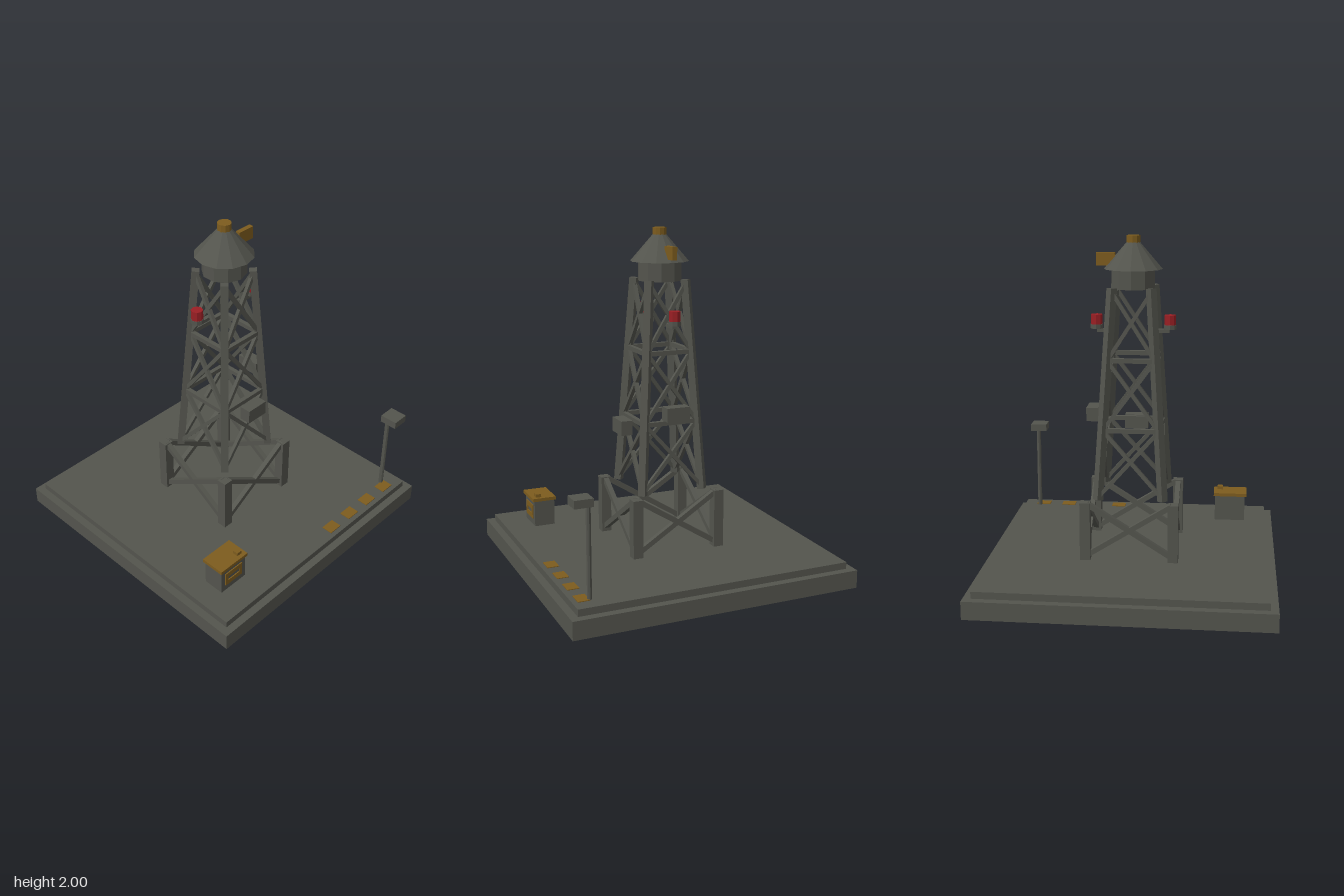
import * as THREE from 'three';

export function createModel() {
  const root = new THREE.Group();
  root.name = 'beaconTower';

  const mat = (name, color) => {
    const m = new THREE.MeshStandardMaterial({ color });
    m.name = name;
    return m;
  };
  const grey = mat('steelGrey', 0x53544d);
  const gold = mat('ochre', 0x7d5c1e);
  const red = mat('signalRed', 0x9a1f24);
  for (const m of [grey, gold, red]) m.flatShading = true;

  const add = (name, geo, m, x, y, z, parent = root) => {
    const mesh = new THREE.Mesh(geo, m);
    mesh.name = name;
    mesh.position.set(x, y, z);
    parent.add(mesh);
    return mesh;
  };
  // Box given by its extents
  const box = (name, m, [x0, x1], [y0, y1], [z0, z1], parent = root) =>
    add(name, new THREE.BoxGeometry(x1 - x0, y1 - y0, z1 - z0), m,
      (x0 + x1) / 2, (y0 + y1) / 2, (z0 + z1) / 2, parent);
  // Upright round part between two heights
  const drum = (name, m, rTop, rBottom, y0, y1, sides, x = 0, z = 0) =>
    add(name, new THREE.CylinderGeometry(rTop, rBottom, y1 - y0, sides), m, x, (y0 + y1) / 2, z);
  // Square bar between two points
  const up = new THREE.Vector3(0, 1, 0);
  const beam = (name, a, b, w, parent, roll = 0) => {
    const p = new THREE.Vector3(...a), q = new THREE.Vector3(...b);
    const dir = q.clone().sub(p);
    const geo = new THREE.BoxGeometry(w, dir.length(), w).rotateY(roll);
    const mid = p.add(q).multiplyScalar(0.5);
    const mesh = add(name, geo, grey, mid.x, mid.y, mid.z, parent);
    mesh.quaternion.setFromUnitVectors(up, dir.normalize());
  };

  // Two-step plinth
  box('plinth', grey, [-0.85, 0.85], [0, 0.105], [-0.85, 0.85]);
  box('plinthTop', grey, [-0.805, 0.805], [0.105, 0.145], [-0.805, 0.805]);

  // Tower: one quarter repeated four times
  const legAt = (y) => 0.188 - 0.076 * (y - 0.49) / 1.21;
  const levels = [0.5, 0.895, 1.3, 1.69];
  for (let i = 0; i < 4; i++) {
    const side = new THREE.Group();
    side.name = 'towerSide' + (i + 1);
    side.rotation.y = i * Math.PI / 2;
    root.add(side);

    box('footPost', grey, [0.225, 0.285], [0.145, 0.49], [0.225, 0.285], side);
    for (const s of [-1, 1])
      beam('footBrace', [-0.245 * s, 0.17, 0.255], [0.245 * s, 0.48, 0.255], 0.03, side);

    const b = legAt(0.485), t = legAt(1.71);
    beam('towerLeg', [b, 0.485, b], [t, 1.71, t], 0.043, side, Math.PI / 4);

    for (let k = 0; k < 3; k++) {
      const y0 = levels[k], y1 = levels[k + 1];
      const r0 = legAt(y0), r1 = legAt(y1);
      for (const s of [-1, 1])
        beam('towerBrace', [-r0 * s, y0, r0], [r1 * s, y1, r1], 0.022, side);
      if (k > 0) beam('towerRail', [-r0, y0, r0], [r0, y0, r0], 0.026, side);
    }
  }

  // Equipment boxes on the tower
  box('frontEquipmentBox', grey, [-0.07, 0.07], [0.82, 0.905], [0.2, 0.27]);
  box('sideEquipmentBox', grey, [0.198, 0.27], [0.925, 1.005], [-0.07, 0.07]);

  // Warning lamps on brackets
  for (const s of [-1, 1]) {
    const x = 0.213 * s;
    add('lampBracket', new THREE.BoxGeometry(0.1, 0.02, 0.025), grey, 0.16 * s, 1.455, 0);
    drum('lampSocket', grey, 0.037, 0.037, 1.465, 1.49, 8, x);
    drum('warningLamp', red, 0.034, 0.034, 1.49, 1.547, 8, x);
  }

  // Head, roof, finial and vane
  drum('headDrum', grey, 0.127, 0.127, 1.7, 1.81, 10);
  drum('roof', grey, 0.035, 0.169, 1.81, 1.965, 12);
  drum('finial', gold, 0.04, 0.04, 1.955, 2, 10);
  box('vane', gold, [0.105, 0.212], [1.828, 1.902], [-0.014, 0.014]);

  // Cabinet with lid, vent and framed panel
  box('cabinet', grey, [-0.67, -0.48], [0.145, 0.305], [0.508, 0.635]);
  box('cabinetLid', gold, [-0.682, -0.472], [0.305, 0.325], [0.5, 0.646]);
  box('cabinetVent', gold, [-0.53, -0.495], [0.325, 0.345], [0.587, 0.622]);
  const rect = (path, w, h) =>
    path.moveTo(-w, -h).lineTo(w, -h).lineTo(w, h).lineTo(-w, h).closePath();
  const frame = rect(new THREE.Shape(), 0.066, 0.044);
  frame.holes.push(rect(new THREE.Path(), 0.045, 0.014));
  add('cabinetFrame', new THREE.ExtrudeGeometry(frame, { depth: 0.006, bevelEnabled: false }),
    gold, -0.575, 0.23, 0.635);

  // Lamp post
  drum('lampPost', grey, 0.014, 0.014, 0.145, 0.67, 8, 0.703, 0.705);
  box('lampPostHead', grey, [0.65, 0.752], [0.66, 0.705], [0.69, 0.797]);

  // Painted ground marks
  for (let i = 0; i < 4; i++) {
    const x = 0.17 + 0.17 * i;
    box('groundMark', gold, [x - 0.044, x + 0.044], [0.145, 0.149], [0.708, 0.776]);
  }
  return root;
}
